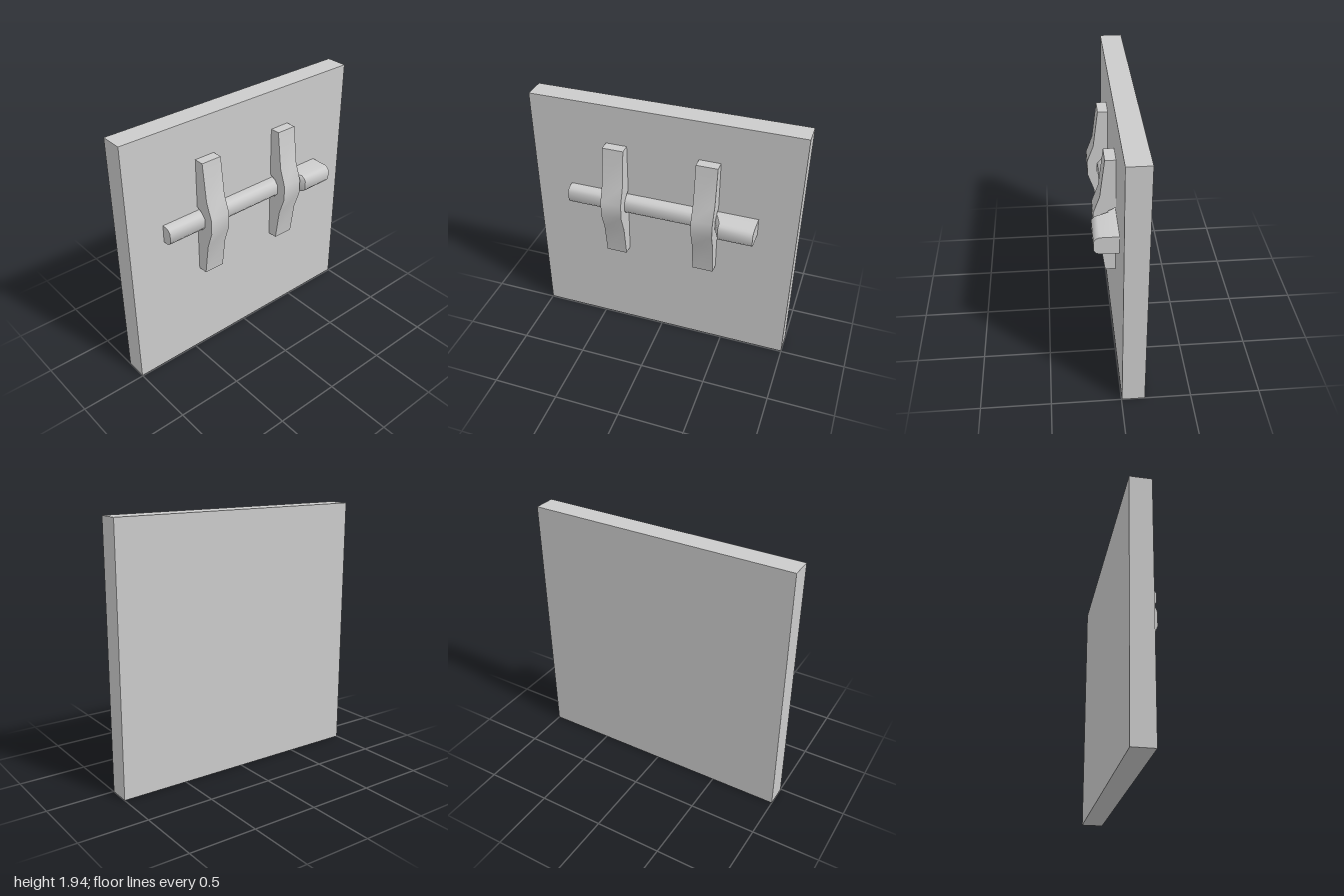
import * as THREE from 'three';
import { toCreasedNormals } from 'three/addons/utils/BufferGeometryUtils.js';

const BACK = -0.005; // front face of the plate
const CREASE = 0.7;

// Half-rounded bolt section in (y, z), counter-clockwise seen from +x
function boltSection(front) {
  return [
    [1.24, BACK], [1.24, front - 0.042], [1.23, front - 0.018], [1.207, front],
    [1.137, front], [1.114, front - 0.018], [1.105, front - 0.042], [1.105, BACK],
  ];
}

// Joins sections of [x, front] along x and closes both ends
function loftBolt(stations) {
  const positions = [];
  const index = [];
  const n = boltSection(0).length;
  for (const [x, front] of stations) {
    for (const [y, z] of boltSection(front)) positions.push(x, y, z);
  }
  const last = (stations.length - 1) * n;
  for (let s = 0; s < last; s += n) {
    for (let j = 0; j < n; j++) {
      const k = (j + 1) % n;
      index.push(s + j, s + k, s + n + k, s + j, s + n + k, s + n + j);
    }
  }
  for (let j = 1; j < n - 1; j++) {
    index.push(0, j + 1, j, last, last + j, last + j + 1);
  }
  const geometry = new THREE.BufferGeometry();
  geometry.setAttribute('position', new THREE.Float32BufferAttribute(positions, 3));
  geometry.setIndex(index);
  return toCreasedNormals(geometry.toNonIndexed(), CREASE);
}

// Bent strap with an arch over the bolt, drawn in (z, y) and extruded across x
function strapGeometry(width) {
  const profile = [
    [BACK, 0.735], [0.07, 0.735], [0.105, 0.98], [0.152, 1.115],
    [0.152, 1.23], [0.105, 1.36], [0.07, 1.645], [BACK, 1.645],
    [BACK, 1.27], [0.045, 1.245], [0.078, 1.208],
    [0.078, 1.136], [0.045, 1.1], [BACK, 1.078],
  ];
  const shape = new THREE.Shape(profile.map(([z, y]) => new THREE.Vector2(z, y)));
  const geometry = new THREE.ExtrudeGeometry(shape, { depth: width, bevelEnabled: false });
  geometry.translate(0, 0, -width / 2);
  geometry.rotateY(-Math.PI / 2);
  return toCreasedNormals(geometry, CREASE);
}

export function createModel() {
  const group = new THREE.Group();
  const material = new THREE.MeshStandardMaterial({ color: 0xcccccc });
  const add = (name, geometry, x = 0, y = 0, z = 0) => {
    const mesh = new THREE.Mesh(geometry, material);
    mesh.name = name;
    mesh.position.set(x, y, z);
    group.add(mesh);
  };

  // Backing plate
  add('plate', new THREE.BoxGeometry(2, 1.942, 0.163), 0, 0.971, BACK - 0.0815);

  // Sliding bolt, stepping up to a thicker handle
  add('bolt', loftBolt([[-0.72, 0.075], [0.424, 0.075], [0.466, 0.168], [0.718, 0.168]]));

  // Two straps holding the bolt
  const strap = strapGeometry(0.158);
  add('rightStrap', strap, -0.346);
  add('leftStrap', strap, 0.344);

  return group;
}
